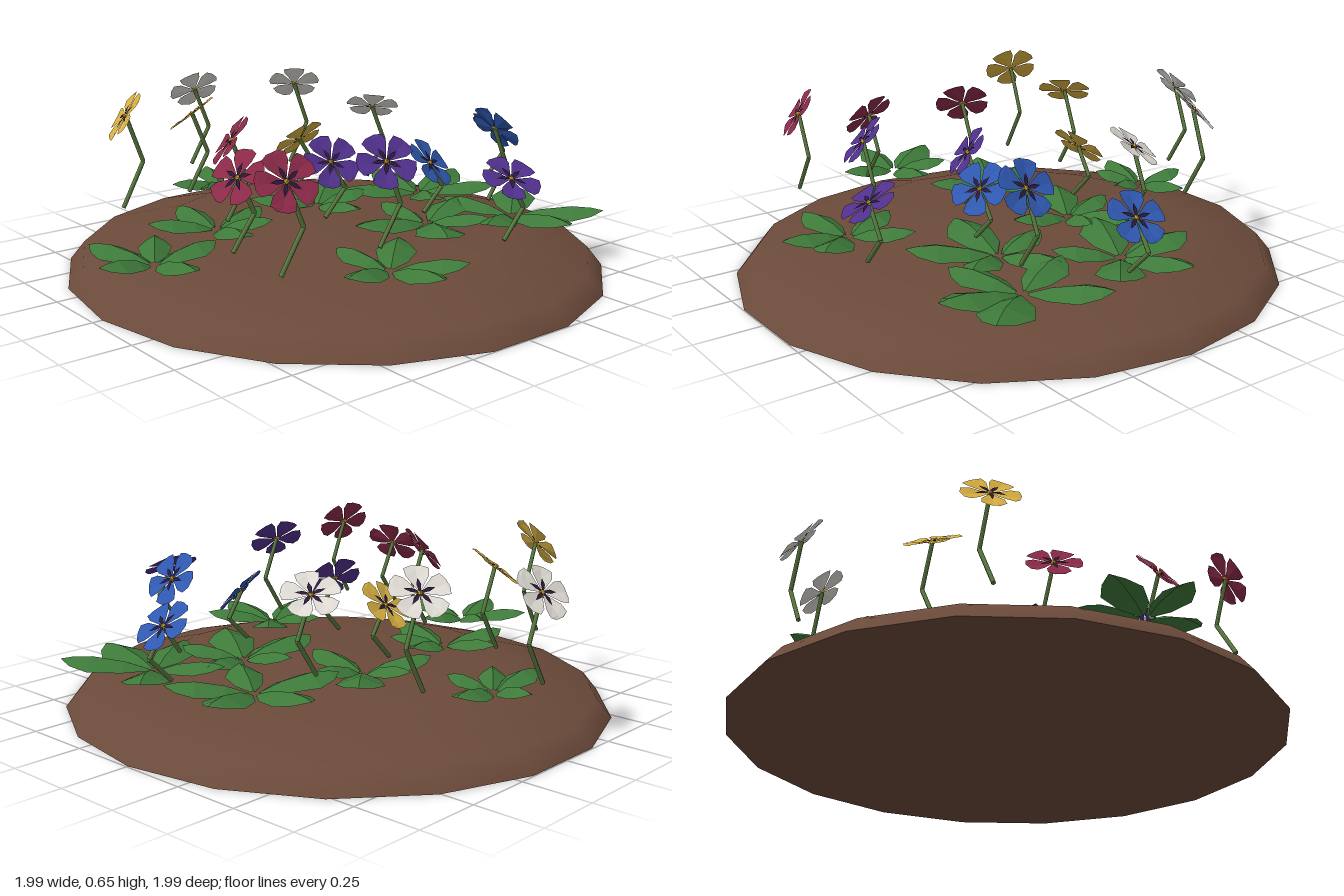
import * as THREE from 'three';

const mat = (color, extra = {}) => new THREE.MeshStandardMaterial({ color, ...extra });
const thin = (color) => mat(color, { side: THREE.DoubleSide, flatShading: true });
const V = (x, y, z) => new THREE.Vector3(x, y, z);
const UP = V(0, 1, 0);

function mesh(name, geometry, material) {
  const m = new THREE.Mesh(geometry, material);
  m.name = name;
  return m;
}

// Folded blade running along +x. Each row: [distance, half width, midrib height, edge height]
function blade(rows) {
  const pos = [];
  const quad = (a, b, c, d) => [a, b, c, a, c, d].forEach((p) => pos.push(...p));
  for (let i = 0; i < rows.length - 1; i++) {
    const [a, b] = [rows[i], rows[i + 1]].map(([x, w, mid, edge]) => ({
      l: [x, edge, -w], m: [x, mid, 0], r: [x, edge, w],
    }));
    quad(a.l, a.m, b.m, b.l);
    quad(a.m, a.r, b.r, b.m);
  }
  const g = new THREE.BufferGeometry();
  g.setAttribute('position', new THREE.Float32BufferAttribute(pos, 3));
  g.computeVertexNormals();
  return g;
}

// Leaf clusters: centre x, z, then the five leaf tips as x, z
const PLANTS = [
  [-0.03, -0.68, -0.25, -0.7, 0.2, -0.7, -0.17, -0.57, 0.02, -0.52, 0.01, -0.86],
  [-0.38, -0.19, -0.4, -0.42, -0.16, -0.22, -0.23, -0.05, -0.43, 0.06, -0.61, -0.29],
  [0.1, -0.21, -0.13, -0.33, 0.08, -0.41, 0.34, -0.4, 0.3, -0.16, 0.1, 0.04],
  [0.53, -0.1, 0.55, -0.39, 0.81, -0.18, 0.76, 0.1, 0.41, 0.11, 0.24, -0.22],
  [-0.77, 0.02, -0.89, -0.21, -0.66, -0.16, -0.53, 0.03, -0.76, 0.26, -0.99, 0.04],
  [0.27, 0.23, -0.05, 0.2, 0.23, 0.02, 0.52, 0.15, 0.4, 0.43, 0.11, 0.51],
  [0.58, 0.36, 0.81, 0.16, 0.8, 0.62, 0.56, 0.67, 0.33, 0.48, 0.47, 0.11],
  [-0.2, 0.56, -0.26, 0.35, -0.01, 0.39, -0.02, 0.75, -0.2, 0.82, -0.43, 0.62],
];

const PALETTE = {
  white: 0xe0dcd5, yellow: 0xd9b040, red: 0x8c2a48, purple: 0x50308c, blue: 0x2f58b0,
};

// Flowers: colour, head position, facing direction
const FLOWERS = [
  ['white', [-0.03, 0.53, -0.86], [0.1, 0.65, -0.75]],
  ['white', [0.31, 0.55, -0.63], [0.4, 0.7, -0.55]],
  ['white', [0.41, 0.5, -0.25], [0.4, 0.8, -0.4]],
  ['yellow', [-0.28, 0.52, -0.49], [-0.4, 0.75, -0.4]],
  ['yellow', [-0.59, 0.56, -0.45], [-0.75, 0.55, -0.3]],
  ['yellow', [0.07, 0.41, -0.28], [-0.1, 0.7, -0.7]],
  ['red', [-0.39, 0.51, -0.07], [-0.7, 0.6, -0.38]],
  ['red', [-0.58, 0.47, 0.24], [-0.75, 0.6, 0.2]],
  ['red', [-0.6, 0.52, 0.53], [-0.3, 0.55, 0.78]],
  ['purple', [-0.09, 0.42, 0.11], [-0.3, 0.6, 0.74]],
  ['purple', [-0.17, 0.51, 0.5], [-0.3, 0.65, 0.68]],
  ['purple', [0.21, 0.43, 0.7], [-0.1, 0.87, 0.5]],
  ['blue', [0.23, 0.4, 0.28], [0.3, 0.65, 0.65]],
  ['blue', [0.53, 0.49, 0.31], [0.8, 0.6, 0]],
  ['blue', [0.78, 0.41, 0.06], [0.65, 0.75, 0.05]],
];

export function createModel() {
  const root = new THREE.Group();
  root.name = 'flowerBed';

  // Low eighteen-sided soil mound with a flat underside
  const soilMat = mat(0x6b4a3a);
  const profile = [[1, 0], [0.945, 0.068], [0.64, 0.15], [0, 0.158]].map(([r, y]) => new THREE.Vector2(r, y));
  const soil = new THREE.Group();
  soil.name = 'soil';
  soil.add(mesh('soilMound', new THREE.LatheGeometry(profile, 18, Math.PI / 2), soilMat));
  const base = mesh('soilBase', new THREE.CircleGeometry(1, 18), soilMat);
  base.rotation.x = Math.PI / 2;
  soil.add(base);
  soil.scale.set(0.98, 1, 1.012);
  soil.position.x = 0.015;
  root.add(soil);

  // Leaf clusters
  const leafMat = thin(0x3e7a3a);
  for (const [cx, cz, ...tips] of PLANTS) {
    const plant = new THREE.Group();
    plant.name = 'leafCluster';
    plant.position.set(cx, 0.155, cz);
    for (let i = 0; i < tips.length; i += 2) {
      const dx = tips[i] - cx, dz = tips[i + 1] - cz;
      const L = Math.hypot(dx, dz);
      const leaf = mesh('leaf', blade([
        [0.02, 0.008, 0.005, 0],
        [0.32 * L, 0.2 * L, 0.032, 0.008],
        [0.66 * L, 0.28 * L, 0.05, 0.018],
        [0.87 * L, 0.16 * L, 0.048, 0.028],
        [L, 0, 0.04, 0.04],
      ]), leafMat);
      leaf.rotation.y = Math.atan2(-dz, dx);
      plant.add(leaf);
    }
    root.add(plant);
  }

  // Shared flower pieces
  const petalGeo = blade([
    [0.004, 0.002, 0, 0], [0.06, 0.038, 0.002, 0.008],
    [0.09, 0.042, 0.004, 0.008], [0.102, 0.018, 0.004, 0.004],
  ]);
  const blotchGeo = blade([[0.006, 0.004, 0.004, 0.005], [0.03, 0.008, 0.006, 0.007], [0.055, 0, 0.005, 0.005]]);
  const eyeGeo = new THREE.ConeGeometry(0.014, 0.014, 5);
  const stemMat = mat(0x5a7a40), blotchMat = thin(0x2a1838), eyeMat = mat(0xe0b030, { flatShading: true });
  const petalMats = Object.fromEntries(Object.entries(PALETTE).map(([k, c]) => [k, thin(c)]));

  const rod = (a, b) => {
    const dir = b.clone().sub(a);
    const m = mesh('stem', new THREE.CylinderGeometry(0.008, 0.008, dir.length(), 6), stemMat);
    m.position.copy(a).add(b).multiplyScalar(0.5);
    m.quaternion.setFromUnitVectors(UP, dir.normalize());
    return m;
  };

  for (const [color, [x, y, z], facing] of FLOWERS) {
    const flower = new THREE.Group();
    flower.name = color + 'Flower';
    // Kinked stem
    const knee = V(x + 0.065, 0.22 + (y - 0.22) * 0.48, z);
    flower.add(rod(V(x - 0.025, 0.22, z), knee), rod(knee, V(x, y, z)));
    // Five petals with dark blotches around a yellow eye
    const head = new THREE.Group();
    head.name = 'flowerHead';
    head.position.set(x, y, z);
    head.quaternion.setFromUnitVectors(UP, V(...facing).normalize());
    for (let i = 0; i < 5; i++) {
      const petal = mesh('petal', petalGeo, petalMats[color]);
      const blotch = mesh('petalBlotch', blotchGeo, blotchMat);
      petal.rotation.y = blotch.rotation.y = (i * Math.PI * 2) / 5 + 0.3;
      head.add(petal, blotch);
    }
    const eye = mesh('flowerEye', eyeGeo, eyeMat);
    eye.position.y = 0.007;
    head.add(eye);
    flower.add(head);
    root.add(flower);
  }
  return root;
}
